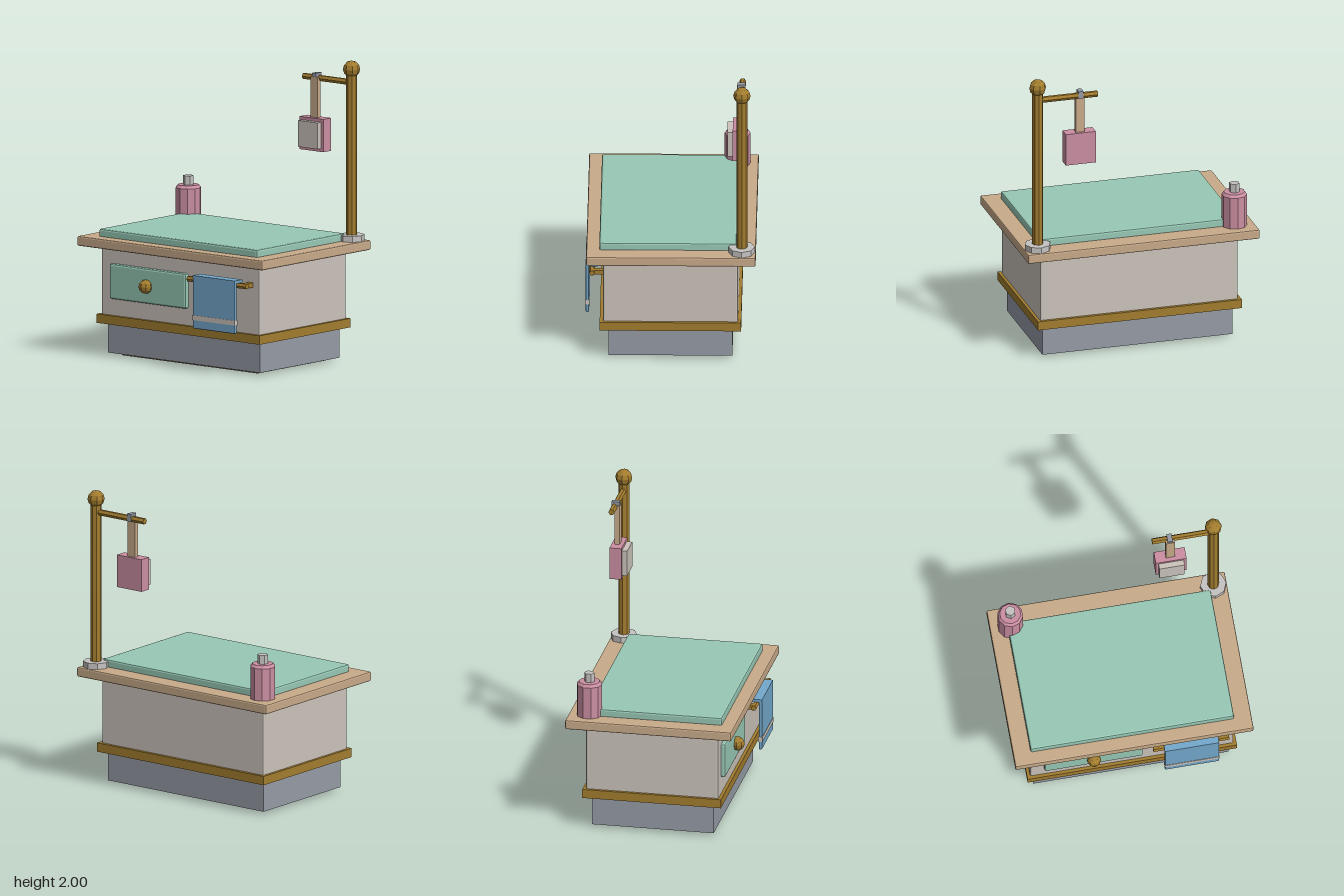
import * as THREE from 'three';
import { RoundedBoxGeometry } from 'three/addons/geometries/RoundedBoxGeometry.js';

const paint = (name, color) => {
  const m = new THREE.MeshStandardMaterial({ color });
  m.name = name;
  return m;
};

export function createModel() {
  const model = new THREE.Group();
  model.name = 'washStation';

  const cream = paint('cream', 0xccc4bc);
  const wood = paint('wood', 0xc9ab8a);
  const mint = paint('mint', 0x98c9b6);
  const brass = paint('brass', 0xa37d2f);
  const slate = paint('slate', 0x969ca6);
  const pink = paint('pink', 0xcb8fa2);
  const blue = paint('blue', 0x74a9cc);
  const silver = paint('silver', 0xc6c4c2);

  // Faceted mesh: every face gets its own normal
  const add = (name, geometry, material, parent = model) => {
    const g = geometry.index ? geometry.toNonIndexed() : geometry;
    g.computeVertexNormals();
    const mesh = new THREE.Mesh(g, material);
    mesh.name = name;
    parent.add(mesh);
    return mesh;
  };

  // Box from its limits on each axis, with an optional chamfer
  const block = (name, [x0, x1], [y0, y1], [z0, z1], material, chamfer = 0, parent = model) => {
    const size = [x1 - x0, y1 - y0, z1 - z0];
    const g = chamfer ? new RoundedBoxGeometry(...size, 1, chamfer) : new THREE.BoxGeometry(...size);
    g.translate((x0 + x1) / 2, (y0 + y1) / 2, (z0 + z1) / 2);
    return add(name, g, material, parent);
  };

  // Upright prism between two heights
  const post = (name, x, z, y0, y1, r, sides, material, parent = model) =>
    add(name, new THREE.CylinderGeometry(r, r, y1 - y0, sides).translate(x, (y0 + y1) / 2, z), material, parent);

  // Prism lying along x
  const bar = (name, x0, x1, y, z, r, sides, material, parent = model) =>
    add(name, new THREE.CylinderGeometry(r, r, x1 - x0, sides).rotateZ(Math.PI / 2)
      .translate((x0 + x1) / 2, y, z), material, parent);

  const ball = (name, x, y, z, r, material, parent = model) =>
    add(name, new THREE.SphereGeometry(r, 8, 6).translate(x, y, z), material, parent);

  const group = (name) => {
    const g = new THREE.Group();
    g.name = name;
    model.add(g);
    return g;
  };

  // Cabinet, from the floor up
  block('footPanel', [-0.59, 0.59], [0, 0.05], [-0.352, 0.352], wood, 0.012);
  block('plinth', [-0.653, 0.653], [0.02, 0.22], [-0.408, 0.408], slate);
  block('trimBand', [-0.7, 0.7], [0.22, 0.28], [-0.466, 0.466], brass);
  block('cabinet', [-0.68, 0.68], [0.265, 0.75], [-0.445, 0.445], cream, 0.012);
  block('counter', [-0.796, 0.796], [0.735, 0.8], [-0.5625, 0.554], wood, 0.01);
  block('topMat', [-0.68, 0.68], [0.79, 0.85], [-0.435, 0.468], mint, 0.012);

  // Drawer with a round knob
  const drawer = group('drawer');
  block('drawerFront', [-0.587, 0.07], [0.393, 0.627], [0.425, 0.474], mint, 0.013, drawer);
  ball('drawerKnob', -0.26, 0.51, 0.49, 0.047, brass, drawer);

  // Rail with a folded towel
  const rail = group('towelRail');
  bar('railBar', 0.13, 0.637, 0.608, 0.518, 0.019, 6, brass, rail);
  for (const x of [0.16, 0.607])
    block('railBracket', [x - 0.018, x + 0.018], [0.592, 0.624], [0.44, 0.52], brass, 0, rail);
  const towel = group('towel');
  block('towelDrop', [0.202, 0.565], [0.288, 0.635], [0.537, 0.56], blue, 0.008, towel);
  block('towelFold', [0.202, 0.565], [0.624, 0.643], [0.482, 0.56], blue, 0, towel);
  block('towelStripe', [0.2, 0.567], [0.345, 0.378], [0.5345, 0.5625], cream, 0, towel);

  // Bottle with a chamfered shoulder and a cap
  const bottle = group('bottle');
  const profile = [[0, 0.8], [0.085, 0.8], [0.085, 1.018], [0.07, 1.037], [0, 1.037]]
    .map(([r, y]) => new THREE.Vector2(r, y));
  add('bottleBody', new THREE.LatheGeometry(profile, 10).translate(-0.66, 0, -0.425), pink, bottle);
  post('bottleCap', -0.66, -0.425, 1.03, 1.097, 0.035, 6, silver, bottle);

  // Corner pole with finial and side arm
  const pole = group('pole');
  const px = 0.705, pz = -0.471;
  post('poleBase', px, pz, 0.79, 0.84, 0.087, 8, silver, pole);
  post('poleShaft', px, pz, 0.83, 1.93, 0.037, 8, brass, pole);
  ball('poleFinial', px, 1.943, pz, 0.057, brass, pole);
  bar('poleArm', 0.295, 0.7, 1.855, pz, 0.021, 6, brass, pole);

  // Brush hanging from the arm
  const brush = group('hangingBrush');
  block('brushHook', [0.395, 0.429], [1.84, 1.89], [-0.492, -0.437], slate, 0, brush);
  block('brushHandle', [0.382, 0.442], [1.58, 1.865], [-0.468, -0.434], wood, 0, brush);
  block('brushHead', [0.31, 0.516], [1.376, 1.595], [-0.488, -0.408], pink, 0, brush);
  block('brushPad', [0.328, 0.497], [1.398, 1.574], [-0.415, -0.372], cream, 0, brush);

  return model;
}
